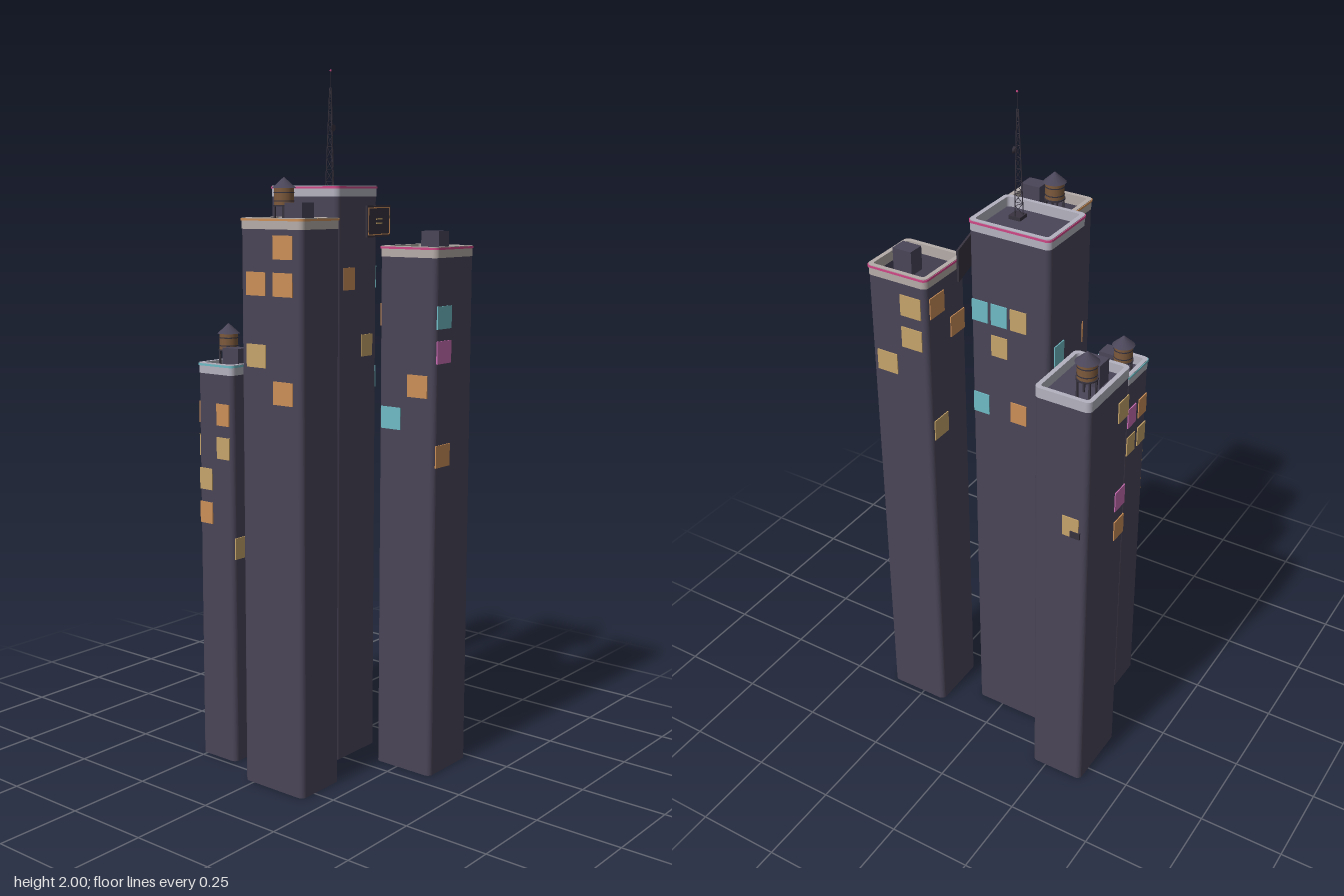
import * as THREE from 'three';

const mat = (name, color) => Object.assign(new THREE.MeshStandardMaterial({ color }), { name });
const M = {
  wall: mat('wall', 0x4a4558), parapet: mat('parapet', 0xb3b2bf), warm: mat('warmParapet', 0xb5aca8),
  orange: mat('orangeLight', 0xcb8f58), yellow: mat('yellowLight', 0xc6a46a), teal: mat('tealLight', 0x6fbbc4),
  pink: mat('pinkLight', 0xc76cb2), neon: mat('neonPink', 0xcf4a88), wood: mat('wood', 0x7d5a3c),
  metal: mat('darkMetal', 0x38333f),
};

function add(parent, name, geo, material, x = 0, y = 0, z = 0) {
  const m = new THREE.Mesh(geo, material);
  m.name = name;
  m.position.set(x, y, z);
  parent.add(m);
  return m;
}
const box = (w, h, d) => new THREE.BoxGeometry(w, h, d);

// thin rod between two points
function rod(parent, name, a, b, r, material) {
  const d = b.clone().sub(a);
  const m = add(parent, name, new THREE.CylinderGeometry(r, r, d.length(), 5), material);
  m.position.copy(a).addScaledVector(d, 0.5);
  m.quaternion.setFromUnitVectors(new THREE.Vector3(0, 1, 0), d.normalize());
}

// rounded rectangle outline, centred on the origin
function outline(w, d, r, C = THREE.Shape) {
  const s = new C(), x = w / 2, y = d / 2;
  s.moveTo(-x + r, -y);
  s.lineTo(x - r, -y); s.absarc(x - r, -y + r, r, -Math.PI / 2, 0);
  s.lineTo(x, y - r); s.absarc(x - r, y - r, r, 0, Math.PI / 2);
  s.lineTo(-x + r, y); s.absarc(-x + r, y - r, r, Math.PI / 2, Math.PI);
  s.lineTo(-x, -y + r); s.absarc(-x + r, -y + r, r, Math.PI, Math.PI * 1.5);
  return s;
}
// upright slab or tube from y0 to y1; t is the wall thickness, 0 for solid
function prism(w, d, y0, y1, t) {
  const s = outline(w, d, 0.016);
  if (t) s.holes.push(outline(w - 2 * t, d - 2 * t, 0.009, THREE.Path));
  const g = new THREE.ExtrudeGeometry(s, { depth: y1 - y0, bevelEnabled: false, curveSegments: 5 });
  return g.rotateX(-Math.PI / 2).translate(0, y0, 0);
}

// rooftop water tank on four legs
function waterTank(parent, x, y, z) {
  const g = new THREE.Group();
  g.name = 'waterTank';
  g.position.set(x, y, z);
  parent.add(g);
  for (const sx of [-1, 1]) for (const sz of [-1, 1])
    add(g, 'tankLeg', box(0.005, 0.06, 0.005), M.metal, sx * 0.018, 0.03, sz * 0.018);
  add(g, 'tankPlatform', new THREE.CylinderGeometry(0.03, 0.03, 0.004, 16), M.metal, 0, 0.06, 0);
  add(g, 'tankBarrel', new THREE.CylinderGeometry(0.027, 0.027, 0.046, 16), M.wood, 0, 0.085, 0);
  for (const h of [0.073, 0.096])
    add(g, 'tankBand', new THREE.CylinderGeometry(0.028, 0.028, 0.003, 16), M.metal, 0, h, 0);
  add(g, 'tankRoof', new THREE.ConeGeometry(0.033, 0.03, 16), M.wall, 0, 0.123, 0);
}

// side, position along the side, height, colour
const towers = [
  { name: 'backTower', x: [-0.37, -0.203], z: [-0.305, -0.085], top: 1.345, trim: M.parapet, roof: true,
    tank: [-0.323, -0.24], hut: [-0.303, -0.165], pane: [0.05, 0.055],
    windows: [['+x', -0.15, 1.23, 'orange'], ['+x', -0.15, 1.13, 'pink'], ['+x', -0.15, 1.035, 'pink'],
      ['+x', -0.15, 0.94, 'teal'], ['+x', -0.25, 1.035, 'orange'], ['+x', -0.25, 0.84, 'yellow'],
      ['-z', -0.32, 0.94, 'yellow'], ['-x', -0.12, 1.23, 'yellow'], ['-x', -0.12, 0.94, 'pink'],
      ['-x', -0.12, 0.84, 'orange']] },
  { name: 'centreTower', x: [-0.16, 0.088], z: [-0.153, 0.038], top: 1.68, trim: M.parapet, roof: true,
    neon: M.neon, pane: [0.05, 0.05],
    windows: [['+z', -0.13, 1.325, 'orange'], ['+z', -0.071, 1.13, 'orange'], ['+x', -0.018, 1.42, 'orange'],
      ['+x', -0.1, 1.226, 'yellow'], ['-z', 0.055, 1.42, 'teal'], ['-z', -0.005, 1.42, 'teal'],
      ['-z', -0.005, 1.325, 'yellow'], ['-z', -0.065, 1.42, 'yellow'], ['-z', 0.055, 1.13, 'teal'],
      ['-z', -0.065, 1.13, 'orange'], ['-x', -0.1, 1.325, 'teal']] },
  { name: 'leftTower', x: [0.173, 0.366], z: [-0.235, -0.045], top: 1.515, trim: M.warm,
    neon: M.neon, hut: [0.283, -0.159], pane: [0.067, 0.067],
    windows: [['+z', 0.309, 1.13, 'orange'], ['+z', 0.219, 1.033, 'teal'], ['+x', -0.089, 1.322, 'teal'],
      ['+x', -0.089, 1.226, 'pink'], ['+x', -0.089, 0.935, 'orange'], ['-z', 0.225, 1.42, 'yellow'],
      ['-z', 0.225, 1.322, 'yellow'], ['-z', 0.312, 1.226, 'yellow'], ['-x', -0.185, 1.42, 'orange'],
      ['-x', -0.09, 1.322, 'orange'], ['-x', -0.185, 1.03, 'yellow']] },
  { name: 'frontTower', x: [-0.035, 0.183], z: [0.138, 0.303], top: 1.595, trim: M.warm,
    neon: M.orange, tank: [0.025, 0.188], hut: [0.115, 0.23], pane: [0.068, 0.05],
    windows: [['+z', 0.119, 1.518, 'orange'], ['+z', 0.024, 1.42, 'orange'], ['+z', 0.119, 1.42, 'orange'],
      ['+z', 0.024, 1.226, 'yellow'], ['+z', 0.119, 1.13, 'orange']] },
  { name: 'rightTower', x: [-0.27, -0.135], z: [0.097, 0.233], top: 1.18, trim: M.parapet, roof: true,
    neon: M.teal, tank: [-0.233, 0.138], hut: [-0.191, 0.153], pane: [0.048, 0.048],
    windows: [['+z', -0.17, 1.035, 'orange'], ['+z', -0.17, 0.938, 'yellow'], ['+z', -0.238, 0.842, 'yellow'],
      ['+z', -0.238, 0.742, 'orange'], ['+x', 0.135, 0.742, 'yellow'], ['+x', 0.135, 0.646, 'teal'],
      ['+x', 0.135, 0.552, 'teal'], ['+x', 0.2, 0.646, 'yellow'], ['-x', 0.135, 1.035, 'pink'],
      ['-x', 0.2, 1.035, 'orange'], ['-x', 0.135, 0.938, 'yellow'], ['-x', 0.2, 0.938, 'yellow'],
      ['-z', -0.238, 1.035, 'yellow']] },
];

function tower(parent, t) {
  const g = new THREE.Group();
  g.name = t.name;
  parent.add(g);
  const w = t.x[1] - t.x[0], d = t.z[1] - t.z[0], cx = (t.x[0] + t.x[1]) / 2, cz = (t.z[0] + t.z[1]) / 2;
  const deck = t.top - 0.03;
  add(g, 'walls', prism(w - 0.002, d - 0.002, 0, deck, 0.003), M.wall, cx, 0, cz);
  add(g, 'parapet', prism(w, d, deck, t.top, 0.013), t.trim, cx, 0, cz);
  if (t.roof) add(g, 'roof', prism(w - 0.006, d - 0.006, deck - 0.006, deck + 0.002, 0), M.wall, cx, 0, cz);
  if (t.neon) add(g, 'neonStrip', prism(w + 0.004, d + 0.004, t.top - 0.008, t.top - 0.002, 0.004), t.neon, cx, 0, cz);
  if (t.hut) add(g, 'roofHut', box(0.06, 0.07, 0.049), M.wall, t.hut[0], deck + 0.035, t.hut[1]);
  if (t.tank) waterTank(g, t.tank[0], deck, t.tank[1]);
  // lit windows
  for (const [side, u, y, c] of t.windows) {
    const hi = side[0] === '+' ? 1 : 0;
    if (side[1] === 'z') add(g, 'window', box(t.pane[0], 0.063, 0.004), M[c], u, y, t.z[hi]);
    else add(g, 'window', box(0.004, 0.063, t.pane[1]), M[c], t.x[hi], y, u);
  }
}

// three-sided lattice mast with dish and warning light
function antenna(parent) {
  const g = new THREE.Group();
  g.name = 'antenna';
  g.position.set(0.013, 1.65, -0.027);
  parent.add(g);
  add(g, 'mastBase', box(0.036, 0.012, 0.036), M.metal, 0, 0.006, 0);
  const point = (i, k) => {
    const a = i * Math.PI * 2 / 3 + 0.5, r = 0.015 - 0.012 * k;
    return new THREE.Vector3(r * Math.cos(a), 0.01 + 0.29 * k, r * Math.sin(a));
  };
  const n = 9;
  for (let i = 0; i < 3; i++) {
    rod(g, 'mastLeg', point(i, 0), point(i, 1), 0.0014, M.metal);
    for (let j = 0; j < n; j++) {
      rod(g, 'mastBrace', point(i, j / n), point(i + 1, (j + 1) / n), 0.0008, M.metal);
      rod(g, 'mastRung', point(i, (j + 1) / n), point(i + 1, (j + 1) / n), 0.0008, M.metal);
    }
  }
  add(g, 'mastTip', new THREE.CylinderGeometry(0.001, 0.001, 0.05, 5), M.metal, 0, 0.321, 0);
  add(g, 'warningLight', new THREE.SphereGeometry(0.003, 8, 6), M.neon, 0, 0.347, 0);
  add(g, 'dish', new THREE.CylinderGeometry(0.01, 0.006, 0.005, 12), M.metal, 0.008, 0.19, 0).rotation.z = -Math.PI / 2;
}

function billboard(parent) {
  const g = new THREE.Group();
  g.name = 'billboard';
  g.position.set(0.0935, 1.58, -0.145);
  g.rotation.y = 0.253;
  parent.add(g);
  add(g, 'billboardPanel', box(0.006, 0.09, 0.17), M.metal);
  for (const s of [-1, 1]) {
    add(g, 'billboardTrim', box(0.002, 0.003, 0.156), M.orange, 0.0035, s * 0.038, 0);
    add(g, 'billboardTrim', box(0.002, 0.076, 0.003), M.orange, 0.0035, 0, s * 0.078);
    add(g, 'billboardStripe', box(0.002, 0.004, 0.045), M.yellow, 0.0035, s * 0.006, 0);
  }
}

export function createModel() {
  const model = new THREE.Group();
  model.name = 'towerCluster';
  towers.forEach((t) => tower(model, t));
  antenna(model);
  billboard(model);
  // window box on the back tower
  add(model, 'windowBox', box(0.03, 0.02, 0.008), M.metal, -0.335, 0.92, -0.306);
  return model;
}
